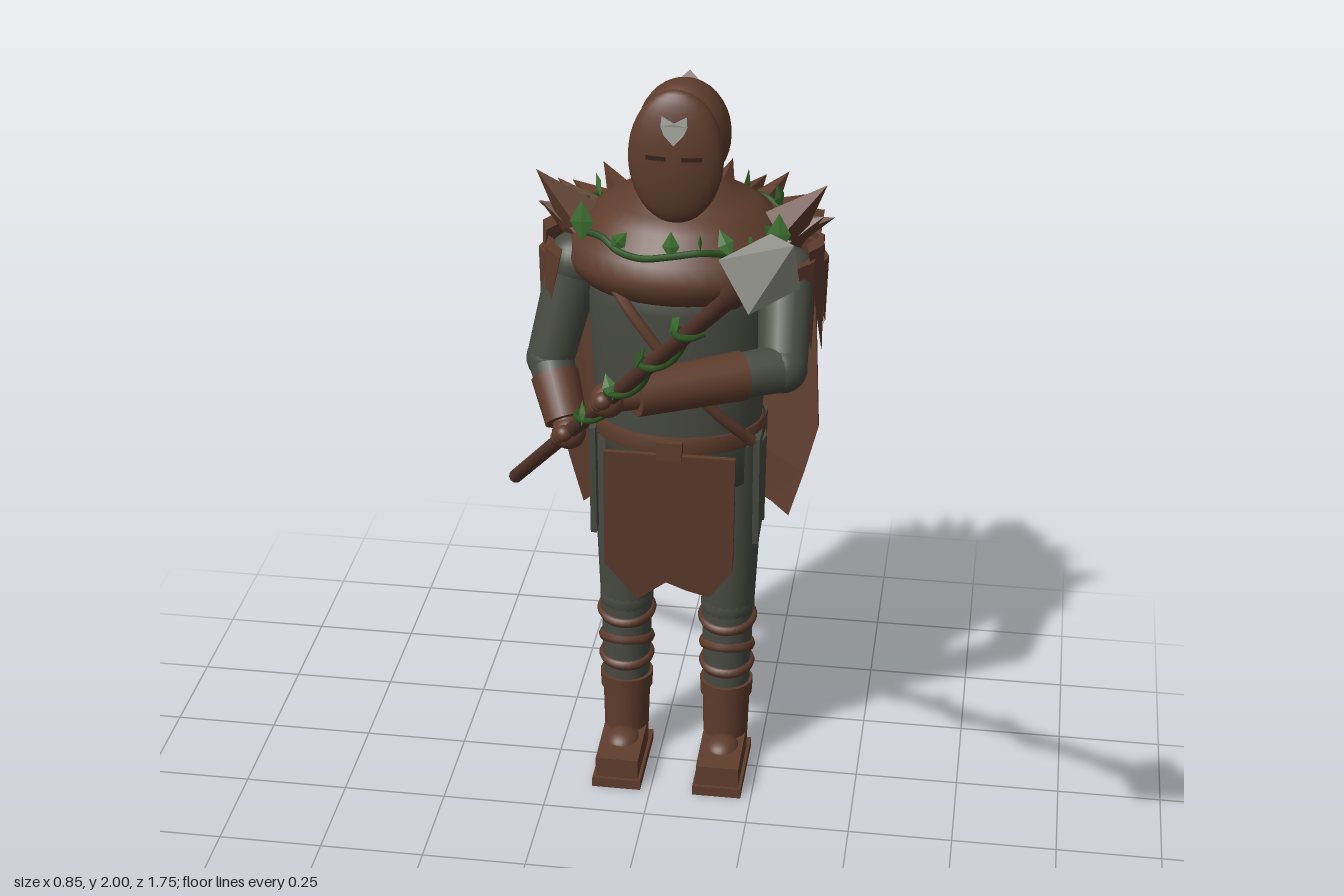
import * as THREE from 'three';

const V = (x, y, z) => new THREE.Vector3(x, y, z);
const UP = V(0, 1, 0);
const CX = 0.04, CZ = -0.53; // body axis

export function createModel() {
  const root = new THREE.Group();
  const mat = (name, color) => Object.assign(new THREE.MeshStandardMaterial({ color }), { name });
  const leather = mat('brown leather', 0x5e3c2c);
  const wood = mat('dark wood', 0x54362a);
  const cloth = mat('grey green cloth', 0x484b42);
  const vine = mat('vine green', 0x2c5222);
  const leafGreen = mat('leaf green', 0x3d7030);
  const steel = mat('steel', 0x9b9b95);
  const dark = mat('dark slit', 0x33211a);

  const add = (name, geo, m, pos) => {
    const mesh = new THREE.Mesh(geo, m);
    mesh.name = name;
    if (pos) mesh.position.copy(pos);
    root.add(mesh);
    return mesh;
  };
  const flat = g => { const f = g.index ? g.toNonIndexed() : g; f.computeVertexNormals(); return f; };
  // tapered cylinder from a to b
  const limb = (name, a, b, ra, rb, m, sides = 20) => {
    const d = b.clone().sub(a);
    const mesh = add(name, new THREE.CylinderGeometry(rb, ra, d.length(), sides), m, a.clone().lerp(b, 0.5));
    mesh.quaternion.setFromUnitVectors(UP, d.normalize());
    return mesh;
  };
  const ball = (name, p, r, m, s = [1, 1, 1]) => {
    const b = add(name, new THREE.SphereGeometry(r, 28, 20), m, p);
    b.scale.set(...s);
    return b;
  };
  const lathe = (name, pts, m, z, sz) => {
    const l = add(name, new THREE.LatheGeometry(pts.map(p => new THREE.Vector2(...p)), 40), m, V(CX, 0, z));
    l.scale.z = sz;
    return l;
  };
  const plate = (pts, depth) => new THREE.ExtrudeGeometry(
    new THREE.Shape(pts.map(p => new THREE.Vector2(...p))), { depth, bevelEnabled: false });
  // rule that moves the vertices of a geometry
  const warp = (g, f) => {
    const p = g.attributes.position, v = V(0, 0, 0);
    for (let i = 0; i < p.count; i++) { v.fromBufferAttribute(p, i); f(v); p.setXYZ(i, v.x, v.y, v.z); }
    g.computeVertexNormals();
    return g;
  };
  const spike = (name, base, dir, r, h, squash = 1) => {
    const g = flat(new THREE.ConeGeometry(r, h, 4).translate(0, h / 2, 0).scale(1, 1, squash));
    const s = add(name, g, leather, base);
    s.quaternion.setFromUnitVectors(UP, dir.clone().normalize());
    return s;
  };
  const leaf = (p, i, size = 0.035) => {
    const l = add('leaf', new THREE.OctahedronGeometry(1), leafGreen, p);
    l.scale.set(size * 0.55, size, 0.005);
    l.rotation.set(0.4 * Math.sin(i * 2.3), i * 1.7, 0.8 * Math.sin(i * 1.9));
  };
  const creeper = (name, pts, closed = false) => add(name,
    new THREE.TubeGeometry(new THREE.CatmullRomCurve3(pts, closed), pts.length * 6, 0.008, 6, closed), vine);

  // legs, boots and wrappings
  for (const s of [-1, 1]) {
    const x = CX + s * 0.125;
    limb('thigh', V(x, 0.46, CZ), V(x, 0.92, CZ), 0.065, 0.085, cloth);
    ball('knee', V(x, 0.46, CZ), 0.066, cloth);
    limb('calf', V(x, 0.2, CZ), V(x, 0.46, CZ), 0.056, 0.064, cloth);
    limb('bootShaft', V(x, 0.03, CZ), V(x, 0.21, CZ), 0.054, 0.059, leather);
    limb('bootCuff', V(x, 0.2, CZ), V(x, 0.24, CZ), 0.064, 0.066, leather);
    add('sole', new THREE.BoxGeometry(0.12, 0.025, 0.24), leather, V(x, 0.0125, -0.47));
    const foot = add('foot', new THREE.BoxGeometry(0.105, 0.075, 0.19), leather, V(x, 0.055, -0.455));
    warp(foot.geometry, v => { if (v.z > 0 && v.y > 0) v.y -= 0.015; });
    ball('instep', V(x, 0.07, -0.46), 0.05, leather, [0.9, 0.7, 1]);
    [[0.29, 0.06, 0.12], [0.34, 0.061, -0.3], [0.42, 0.064, 0.22]].forEach(([y, r, tilt]) => {
      const band = add('legStrap', new THREE.TorusGeometry(r, 0.009, 6, 28), leather, V(x, y, CZ));
      band.rotation.x = Math.PI / 2 + tilt;
      band.scale.z = 1.5;
    });
    // side skirt plate
    const skirt = plate([[-0.09, 0.95], [-0.07, 0.65], [-0.02, 0.68], [0.07, 0.66], [0.09, 0.95]], 0.015);
    add('sideSkirt', skirt.rotateY(-Math.PI / 2), cloth, V(CX + s * 0.195 + 0.0075, 0, CZ));
  }

  // tunic, belt, loin panels, strap
  lathe('tunic', [[0, 0.82], [0.19, 0.82], [0.195, 0.95], [0.205, 1.1], [0.215, 1.28], [0.2, 1.37], [0.1, 1.46], [0, 1.47]],
    cloth, CZ, 0.74);
  lathe('belt', [[0.195, 0.93], [0.206, 0.93], [0.206, 0.972], [0.195, 0.972]], leather, CZ, 0.77);
  add('buckle', new THREE.BoxGeometry(0.06, 0.045, 0.02), leather, V(CX, 0.945, -0.365));
  const loin = [[-0.155, 0.935], [-0.158, 0.62], [-0.08, 0.52], [-0.01, 0.575], [0.04, 0.555], [0.095, 0.54], [0.15, 0.62], [0.155, 0.935]];
  for (const [m, name, s] of [[leather, 'frontLoinPanel', 1], [cloth, 'backLoinPanel', -1]]) {
    const g = warp(plate(loin, 0.014), v => { v.z += s * (0.125 + (v.y - 0.52) * 0.1) - 0.007; });
    add(name, g, m, V(CX, 0, CZ));
  }
  const strapPath = new THREE.CatmullRomCurve3([V(-0.13, 1.38, -0.42), V(-0.04, 1.27, -0.372), V(0.06, 1.14, -0.373), V(0.15, 1.03, -0.395), V(0.225, 0.94, -0.45)]);
  add('chestStrap', new THREE.TubeGeometry(strapPath, 30, 0.014, 8), leather);

  // mantle, hood, mask
  lathe('mantle', [[0.19, 1.3], [0.24, 1.31], [0.268, 1.34], [0.275, 1.37], [0.26, 1.41], [0.22, 1.445], [0.205, 1.47],
    [0.17, 1.495], [0.11, 1.52], [0.07, 1.56], [0, 1.57]], leather, -0.575, 0.87);
  ball('hood', V(CX, 1.65, -0.572), 0.1, leather, [1.08, 1.28, 1]);
  spike('hoodTip', V(CX, 1.725, -0.63), V(0, -0.09, -0.11), 0.055, 0.14);
  const mask = V(CX, 1.645, -0.432), mr = [0.108, 0.157, 0.043];
  ball('mask', mask, 1, leather, mr);
  const onMask = g => warp(g, v => {
    v.z += mr[2] * Math.sqrt(Math.max(0, 1 - (v.x / mr[0]) ** 2 - (v.y / mr[1]) ** 2)) + 0.001;
  });
  add('foreheadMark', onMask(plate([[0, 0.038], [0.009, 0.078], [0.0, 0.09], [-0.01, 0.078]].length ?
    [[0, 0.043], [0.022, 0.066], [0.03, 0.085], [0.028, 0.106], [0, 0.092], [-0.028, 0.106], [-0.03, 0.085], [-0.022, 0.066]] : [], 0.005)), steel, mask);
  for (const s of [-1, 1]) {
    add('eyeSlit', onMask(new THREE.BoxGeometry(0.045, 0.009, 0.005).translate(s * 0.04, 0.01, 0)), dark, mask);
  }

  // upright spikes around the shoulders
  for (let i = 0; i < 15; i++) {
    const a = THREE.MathUtils.degToRad(82 + i * 14), sx = Math.sin(a), cz = Math.cos(a);
    spike('shoulderSpike', V(CX + sx * 0.235, 1.41, -0.575 + cz * 0.2), V(sx, i % 2 ? 0.35 : 0.75, cz), 0.045, 0.12);
  }
  for (const s of [-1, 1]) {
    spike('tallSpike', V(CX + s * 0.235, 1.45, -0.53), V(s * 0.1, 0.115, 0.01), 0.055, 0.15);
  }
  // hanging fringe
  for (let i = 0; i < 19; i++) {
    const a = THREE.MathUtils.degToRad(68 + i * 12.45), sx = Math.sin(a), cz = Math.cos(a);
    const g = flat(new THREE.ConeGeometry(0.062, 0.22 + 0.05 * Math.sin(i * 2.1), 4).rotateX(Math.PI).scale(1, 1, 0.35));
    const f = add('fringe', g, leather, V(CX + sx * 0.325, 1.275, -0.58 + cz * 0.235));
    f.rotation.set(-0.1, a, 0.1 * Math.sin(i * 3.7), 'YXZ');
  }

  // cape in two ragged halves with an arched opening between them
  const half = [[0, 1.4], [0, 0.9], [0.05, 0.86], [0.08, 0.76], [0.09, 0.65], [0.13, 0.6], [0.17, 0.68], [0.21, 0.66],
    [0.255, 0.63], [0.29, 0.75], [0.32, 0.87], [0.295, 1.25], [0.31, 1.4]];
  for (const s of [-1, 1]) {
    const g = warp(plate(half.map(([x, y]) => [s * x, y]), 0.018), v => {
      v.z += -0.82 + (1.4 - v.y) * 0.13 + v.x * v.x * 0.5;
    });
    add('capeHalf', g, leather, V(CX, 0, 0));
  }

  // spear
  const butt = V(-0.415, 0.605, -0.82), tip = V(0.42, 2, 0.86);
  const at = t => butt.clone().lerp(tip, t);
  limb('spearShaft', butt, at(0.88), 0.018, 0.018, wood, 10);
  limb('spearSocket', at(0.835), at(0.885), 0.024, 0.027, wood, 10);
  const blade = (name, a, b, ra, rb) => {
    const m = limb(name, a, b, ra, rb, steel, 4);
    m.geometry = flat(m.geometry);
  };
  blade('spearHeadBase', at(0.868), at(0.912), 0.022, 0.08);
  blade('spearHeadPoint', at(0.912), tip, 0.08, 0.0005);

  // arms gripping the spear
  const handR = at(0.257), handL = at(0.42);
  const shR = V(-0.205, 1.34, -0.53), elR = V(-0.262, 1.1, -0.5);
  const shL = V(0.285, 1.34, -0.52), elL = V(0.3, 1.19, -0.335);
  for (const [sh, el, hand] of [[shR, elR, handR], [shL, elL, handL]]) {
    ball('shoulder', sh, 0.068, cloth);
    limb('upperArm', sh, el, 0.064, 0.056, cloth);
    ball('elbow', el, 0.057, cloth);
    const p = t => el.clone().lerp(hand, t);
    limb('forearm', el, p(0.4), 0.055, 0.05, cloth);
    limb('vambrace', p(0.24), p(0.85), 0.057, 0.05, leather);
    limb('wrist', p(0.8), hand, 0.034, 0.03, leather);
    ball('fist', hand, 0.04, leather);
    for (let k = -1; k <= 1; k++) {
      ball('finger', hand.clone().add(tip.clone().sub(butt).normalize().multiplyScalar(k * 0.025)).add(V(-0.015, 0, 0.02)), 0.02, leather);
    }
  }

  // vine winding along the spear
  const wind = [];
  for (let i = 0; i <= 32; i++) {
    const a = i * 0.75;
    wind.push(at(0.28 + i * 0.0145).add(V(Math.cos(a) * 0.024, Math.sin(a) * 0.024, -Math.cos(a) * 0.012)));
    if (i % 4 === 1) leaf(wind[i].clone().add(V(0, 0.018, 0)), i, 0.03);
  }
  creeper('spearVine', wind);

  // vine round the mantle
  const ring = [];
  for (let i = 0; i < 24; i++) {
    const a = i / 24 * Math.PI * 2, r = 0.245 + 0.008 * Math.sin(i * 2);
    const p = V(CX + Math.sin(a) * r, 1.435 + 0.012 * Math.sin(i * 1.6), -0.575 + Math.cos(a) * r * 0.88);
    ring.push(p);
    if (i % 2 === 0 || i < 4) leaf(p.clone().add(V(0, 0.025, 0)), i, 0.036);
  }
  creeper('mantleVine', ring, true);
  leaf(V(-0.165, 1.5, -0.38), 0, 0.05);
  leaf(V(0.28, 1.5, -0.37), 0, 0.05);

  // vine hanging down the cape
  const hang = [];
  for (let i = 0; i < 8; i++) {
    hang.push(V(-0.17 + 0.02 * Math.sin(i * 1.8), 1.12 - i * 0.048, -0.785 + 0.008 * Math.sin(i)));
    leaf(hang[i].clone().add(V(0, 0, -0.01)), i, 0.034);
  }
  creeper('capeVine', hang);
  return root;
}
